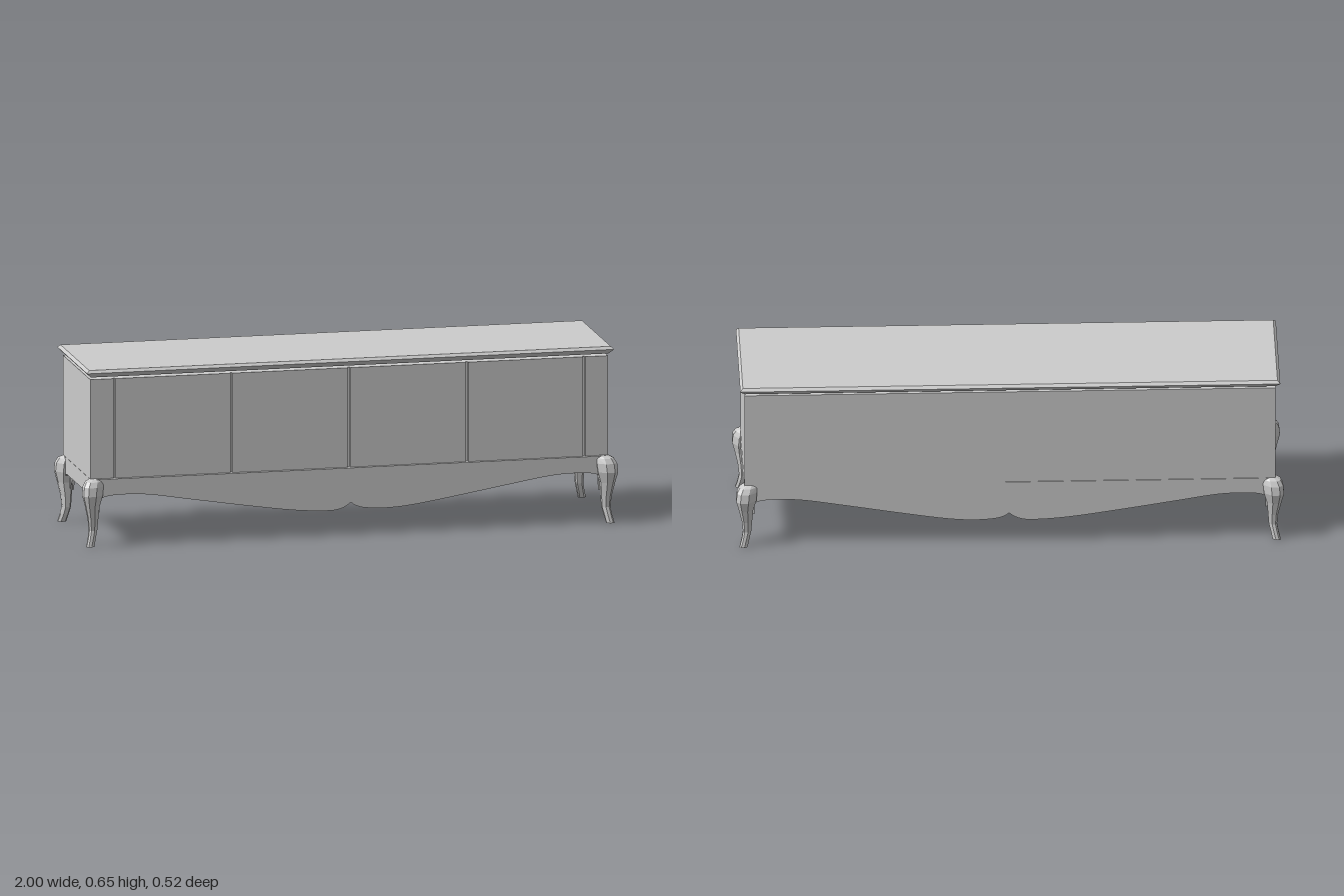
import * as THREE from 'three';
import { toCreasedNormals } from 'three/addons/utils/BufferGeometryUtils.js';

const material = new THREE.MeshStandardMaterial({ color: 0xcccccc });
const flatMaterial = new THREE.MeshStandardMaterial({ color: 0xcccccc, flatShading: true });

// Closed solid through a stack of rings; each ring runs from +x towards +z
function loft(rings) {
  const pos = [];
  const tri = (...pts) => pts.forEach((p) => pos.push(...p));
  const n = rings[0].length;
  for (let i = 0; i < rings.length - 1; i++) {
    for (let j = 0; j < n; j++) {
      const k = (j + 1) % n;
      const a = rings[i][j], b = rings[i][k], c = rings[i + 1][k], d = rings[i + 1][j];
      tri(a, d, c);
      tri(a, c, b);
    }
  }
  const low = rings[0], high = rings[rings.length - 1];
  for (let j = 1; j < n - 1; j++) {
    tri(low[0], low[j], low[j + 1]);
    tri(high[0], high[j + 1], high[j]);
  }
  const g = new THREE.BufferGeometry();
  g.setAttribute('position', new THREE.Float32BufferAttribute(pos, 3));
  g.computeVertexNormals();
  return g;
}

// Mirrored copy that keeps the faces turned outward
function mirrored(geometry, sx, sz) {
  const g = geometry.index ? geometry.toNonIndexed() : geometry.clone();
  const p = g.attributes.position;
  for (let i = 0; i < p.count; i++) p.setXYZ(i, p.getX(i) * sx, p.getY(i), p.getZ(i) * sz);
  if (sx * sz < 0) {
    for (let i = 0; i < p.count; i += 3) {
      const b = new THREE.Vector3().fromBufferAttribute(p, i + 1);
      const c = new THREE.Vector3().fromBufferAttribute(p, i + 2);
      p.setXYZ(i + 1, c.x, c.y, c.z);
      p.setXYZ(i + 2, b.x, b.y, b.z);
    }
  }
  g.computeVertexNormals();
  return g;
}

// Board whose lower edge follows a smooth curve under a straight top
function curvedBoard(edge, topY, depth) {
  const pts = edge.map(([x, y]) => new THREE.Vector2(x, y));
  const shape = new THREE.Shape();
  shape.moveTo(pts[0].x, topY);
  shape.lineTo(pts[0].x, pts[0].y);
  shape.splineThru(pts.slice(1));
  shape.lineTo(pts[pts.length - 1].x, topY);
  shape.closePath();
  return new THREE.ExtrudeGeometry(shape, { depth, bevelEnabled: false, curveSegments: 40 });
}

export function createModel() {
  const model = new THREE.Group();
  const add = (name, geometry, mat = material) => {
    const mesh = new THREE.Mesh(geometry, mat);
    mesh.name = name;
    model.add(mesh);
    return mesh;
  };
  const smooth = (g) => toCreasedNormals(g, 0.5);
  const box = (name, x0, x1, y0, y1, z0, z1) => {
    add(name, new THREE.BoxGeometry(x1 - x0, y1 - y0, z1 - z0))
      .position.set((x0 + x1) / 2, (y0 + y1) / 2, (z0 + z1) / 2);
  };

  // Table top with a moulded edge, floating just above the cabinet
  const topRings = [[0.627, 0.018], [0.637, 0.007], [0.645, 0], [0.655, 0.01]].map(([y, inset]) => {
    const x = 0.984 - inset, z = 0.246 - inset, cz = -0.006;
    return [[x, y, cz - z], [x, y, cz + z], [-x, y, cz + z], [-x, y, cz - z]];
  });
  add('tableTop', loft(topRings), flatMaterial);

  // Cabinet with doors and end strips separated by narrow grooves
  const bottom = 0.248, cabinetTop = 0.618, w = 0.967, gap = 0.004;
  box('cabinet', -w, w, bottom, cabinetTop, -0.23, 0.206);
  const seams = [-w - gap, -0.877, -0.44, 0, 0.44, 0.877, w + gap];
  for (let i = 0; i < seams.length - 1; i++) {
    const name = i === 0 || i === seams.length - 2 ? 'endStrip' : 'door';
    box(name, seams[i] + gap, seams[i + 1] - gap, bottom, cabinetTop, 0.206, 0.218);
  }

  // Scalloped aprons: one lobe overlaps the other in a scroll at the middle
  const scrollLobe = curvedBoard([
    [-0.95, 0.13], [-0.938, 0.165], [-0.915, 0.183], [-0.85, 0.189], [-0.75, 0.184], [-0.6, 0.16],
    [-0.4, 0.128], [-0.22, 0.102], [-0.1, 0.093], [-0.04, 0.097], [0, 0.118], [0.024, 0.145],
    [0.036, 0.185], [0.036, 0.235],
  ], bottom, 0.046).translate(0, 0, 0.187);
  const plainLobe = curvedBoard([
    [0, 0.124], [0.02, 0.108], [0.06, 0.097], [0.14, 0.093], [0.24, 0.101], [0.4, 0.126],
    [0.6, 0.16], [0.75, 0.184], [0.85, 0.189], [0.915, 0.183], [0.938, 0.165], [0.95, 0.13],
  ], bottom, 0.043).translate(0, 0, 0.187);
  for (const [side, sz] of [['front', 1], ['back', -1]]) {
    add(side + 'ApronScrollLobe', smooth(mirrored(scrollLobe, 1, sz)));
    add(side + 'ApronPlainLobe', smooth(mirrored(plainLobe, 1, sz)));
  }

  // Side rails curving down into the legs
  const half = [[0.21, 0.12], [0.2, 0.155], [0.19, 0.178], [0.165, 0.187], [0.12, 0.188]];
  const railEdge = [...half.map(([z, y]) => [-z, y]), ...half.slice().reverse()];
  const rail = curvedBoard(railEdge, bottom, 0.037).rotateY(Math.PI / 2).translate(0.931, 0, 0);
  add('leftRail', smooth(rail));
  add('rightRail', smooth(mirrored(rail, -1, 1)));

  // Cabriole legs: faceted section swept through [y, outer x, inner x, outer z, inner z]
  const section = [
    [0.15, 0], [0.7, 0], [1, 0.4], [1, 0.8], [0.8, 1], [0.4, 1], [0, 0.7], [0, 0.15],
  ];
  const legRings = [
    [0, 0.986, 0.957, 0.247, 0.222],
    [0.03, 0.978, 0.95, 0.241, 0.209],
    [0.058, 0.973, 0.943, 0.235, 0.202],
    [0.1, 0.977, 0.94, 0.24, 0.2],
    [0.15, 0.988, 0.936, 0.251, 0.198],
    [0.19, 0.998, 0.925, 0.262, 0.187],
    [0.222, 0.995, 0.922, 0.257, 0.185],
    [0.24, 0.985, 0.922, 0.246, 0.187],
    [0.249, 0.968, 0.925, 0.231, 0.192],
  ].map(([y, xo, xi, zo, zi]) => section.map(([u, v]) => [xi + (xo - xi) * u, y, zi + (zo - zi) * v]));
  const leg = loft(legRings);
  for (const [x, sx] of [['Left', 1], ['Right', -1]]) {
    for (const [z, sz] of [['front', 1], ['back', -1]]) {
      add(z + x + 'Leg', mirrored(leg, sx, sz), flatMaterial);
    }
  }
  return model;
}
